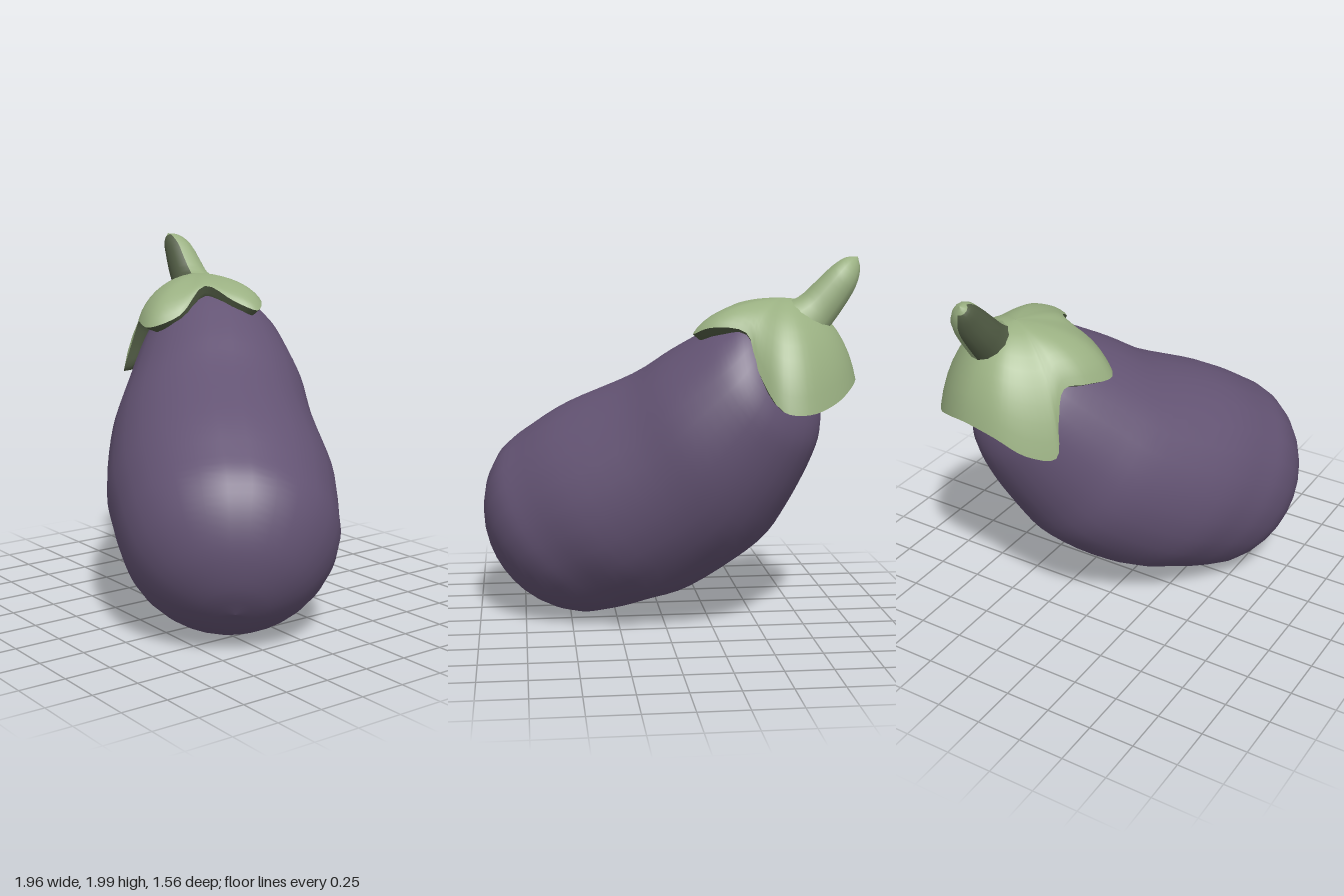
import * as THREE from 'three';

const V = (x, y, z) => new THREE.Vector3(x, y, z);

// Skin a list of equally sized closed rings into a smooth surface
function loft(rings) {
  const n = rings[0].length, index = [];
  for (let i = 0; i < rings.length - 1; i++) {
    for (let j = 0; j < n; j++) {
      const k = (j + 1) % n;
      const a = i * n + j, b = i * n + k, c = a + n, d = b + n;
      index.push(a, b, c, b, d, c);
    }
  }
  const g = new THREE.BufferGeometry().setFromPoints(rings.flat());
  g.setIndex(index);
  g.computeVertexNormals();
  return g;
}

// Parallel round sections, all square to one axis; stations are [x, y, z, radius]
function stackedRounds(stations, axis, steps, sides) {
  const path = new THREE.CatmullRomCurve3(stations.map(s => V(s[0], s[1], s[2])), false, 'catmullrom');
  const radii = new THREE.CatmullRomCurve3(stations.map(s => V(s[3], 0, 0)), false, 'catmullrom');
  const nrm = axis.clone().cross(V(0, 0, 1)).normalize();
  const bin = axis.clone().cross(nrm).normalize();
  const rings = [];
  for (let i = 0; i <= steps; i++) {
    const c = path.getPoint(i / steps), r = Math.max(0.0005, radii.getPoint(i / steps).x);
    rings.push(Array.from({ length: sides }, (_, j) => {
      const a = (j / sides) * Math.PI * 2;
      return c.clone().addScaledVector(nrm, r * Math.cos(a)).addScaledVector(bin, r * Math.sin(a));
    }));
  }
  return loft(rings);
}

export function createModel() {
  const material = (name, color) => {
    const m = new THREE.MeshStandardMaterial({ color });
    m.name = name;
    return m;
  };
  const purple = material('purpleSkin', 0x645474);
  const green = material('paleGreen', 0x9ab082);
  const darkGreen = material('darkGreen', 0x525d45);
  darkGreen.side = THREE.DoubleSide;
  const model = new THREE.Group();
  model.name = 'eggplant';
  const add = (name, geometry, mat) => {
    const mesh = new THREE.Mesh(geometry, mat);
    mesh.name = name;
    model.add(mesh);
  };

  // Fruit: rounded blossom end, then a body narrowing to the neck
  const axis = V(-0.67, 0.6, -0.43).normalize();
  const stations = [90, 72, 52, 32, 14].map(deg => {
    const a = THREE.MathUtils.degToRad(deg);
    const c = V(0.405, 0.572, 0.205).addScaledVector(axis, -0.56 * Math.sin(a));
    return [c.x, c.y, c.z, 0.58 * Math.cos(a)];
  });
  stations.push(
    [0.36, 0.575, 0.19, 0.59], [0.145, 0.7, 0.07, 0.612], [-0.17, 0.91, -0.11, 0.565],
    [-0.333, 1.097, -0.235, 0.51], [-0.48, 1.283, -0.33, 0.43], [-0.55, 1.39, -0.37, 0.365],
    [-0.58, 1.49, -0.38, 0.28], [-0.6, 1.58, -0.38, 0.15], [-0.61, 1.62, -0.385, 0]);
  add('fruit', stackedRounds(stations, axis, 52, 28), purple);

  // Leafy cap: lobed rim, running right lobe, front lobe, left lobe, back lobe
  const rim = new THREE.CatmullRomCurve3([
    [-0.12, 1.6, -0.38], [-0.2, 1.65, -0.28], [-0.36, 1.73, -0.19],
    [-0.33, 1.58, 0], [-0.43, 1.51, 0.14], [-0.6, 1.53, 0.1], [-0.7, 1.53, 0.03],
    [-0.77, 1.38, 0.04], [-0.83, 1.21, 0.06], [-0.93, 1.24, -0.05],
    [-0.985, 1.33, -0.2], [-0.975, 1.36, -0.38], [-0.92, 1.33, -0.52], [-0.81, 1.27, -0.66],
    [-0.65, 1.23, -0.77], [-0.52, 1.25, -0.775], [-0.41, 1.45, -0.64],
    [-0.37, 1.62, -0.54], [-0.2, 1.64, -0.47],
  ].map(p => V(...p)), true).getPoints(76).slice(0, 76);
  const apex = V(-0.6, 1.78, -0.32), core = V(-0.48, 1.3, -0.28);
  // Ring of the dome at t (0 apex, 1 rim), sunk towards the core by a depth
  const capRing = (t, depth) => {
    const h = Math.sin(1.3 * t) / Math.sin(1.3);
    const v = (1 - Math.cos(1.3 * t)) / (1 - Math.cos(1.3));
    return rim.map(p => {
      const q = V(
        apex.x + (p.x - apex.x) * h,
        apex.y + (p.y - apex.y) * v,
        apex.z + (p.z - apex.z) * h);
      return q.addScaledVector(core.clone().sub(q).normalize(), depth);
    });
  };
  const domeRings = [];
  for (let i = 0; i <= 10; i++) domeRings.push(capRing(Math.max(0.002, i / 10), 0));
  add('cap', loft(domeRings), green);
  // Thick edge of the cap and its underside
  add('capUnderside', loft([capRing(1, 0), capRing(1, 0.04), capRing(0.99, 0.08),
    capRing(0.85, 0.08), capRing(0.7, 0.08)]), darkGreen);

  // Short stem, pale with a dark front strip
  const steps = 15, sides = 12;
  const stem = stackedRounds([
    [-0.64, 1.63, -0.37, 0.16], [-0.75, 1.71, -0.375, 0.115], [-0.83, 1.8, -0.38, 0.1],
    [-0.9, 1.89, -0.385, 0.083], [-0.95, 1.955, -0.37, 0.05], [-0.978, 1.99, -0.36, 0],
  ], V(-0.65, 0.76, 0), steps, sides);
  for (let i = 0; i < steps; i++) {
    for (let j = 0; j < sides; j++) {
      const dark = j >= 6 && j <= 10 && i < steps - 2;
      stem.addGroup((i * sides + j) * 6, 6, dark ? 1 : 0);
    }
  }
  add('stem', stem, [green, darkGreen]);

  return model;
}
